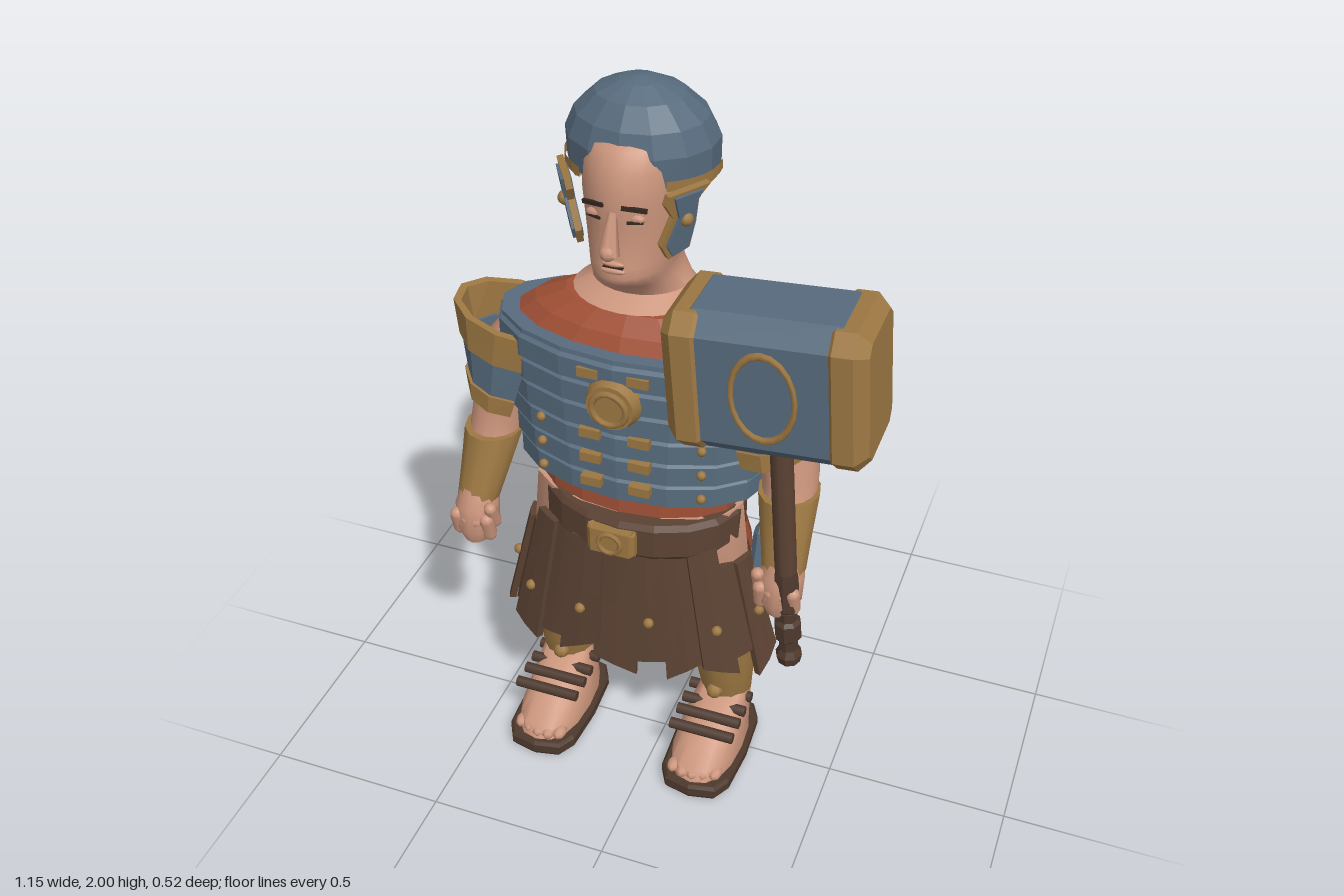
import * as THREE from 'three';
import { toCreasedNormals } from 'three/addons/utils/BufferGeometryUtils.js';

const paint = (name, color) => {
  const m = new THREE.MeshStandardMaterial({ color, side: THREE.DoubleSide });
  m.name = name;
  return m;
};

// Stacked elliptical rings, bottom to top: [y, centreX, centreZ, radiusX, radiusZ]
function loft(rows, n = 16, { p = 2, a0 = 0, a1 = 0, caps = true, smooth = false } = {}) {
  const open = a1 > a0, m = open ? n + 1 : n, pos = [], idx = [];
  const pw = v => Math.sign(v) * Math.abs(v) ** (2 / p);
  for (const [y, cx, cz, rx, rz] of rows)
    for (let j = 0; j < m; j++) {
      const t = open ? a0 + (a1 - a0) * j / n : 2 * Math.PI * j / n;
      pos.push(cx + rx * pw(Math.sin(t)), y, cz + rz * pw(Math.cos(t)));
    }
  for (let i = 0; i < rows.length - 1; i++)
    for (let j = 0; j < n; j++) {
      const a = i * m + j, b = i * m + (j + 1) % m;
      idx.push(a, b, b + m, a, b + m, a + m);
    }
  if (caps && !open) {
    const last = rows.length - 1, c = rows.length * m;
    for (const r of [rows[0], rows[last]]) pos.push(r[1], r[0], r[2]);
    for (let j = 0; j < n; j++) {
      const k = (j + 1) % n;
      idx.push(c, k, j, c + 1, last * m + j, last * m + k);
    }
  }
  const g = new THREE.BufferGeometry();
  g.setAttribute('position', new THREE.Float32BufferAttribute(pos, 3));
  g.setIndex(idx);
  if (smooth) return toCreasedNormals(g, 0.8);
  const f = g.toNonIndexed();
  f.computeVertexNormals();
  return f;
}

// Block with chamfered edges, extruded along x
function chamferBox(w, h, d, c) {
  const a = d / 2 - c, b = h / 2 - c, k = c * 0.8;
  const s = new THREE.Shape([[-a, -b + k], [-a + k, -b], [a - k, -b], [a, -b + k], [a, b - k],
    [a - k, b], [-a + k, b], [-a, b - k]].map(q => new THREE.Vector2(...q)));
  const g = new THREE.ExtrudeGeometry(s, { depth: w - 2 * c, bevelSize: c, bevelThickness: c, bevelSegments: 1 });
  return g.translate(0, 0, -w / 2 + c).rotateY(-Math.PI / 2);
}

export function createModel() {
  const steel = paint('steel blue', 0x576b7d), gold = paint('old gold', 0x9c7742), skin = paint('skin', 0xcb957c);
  const brown = paint('leather', 0x5b4233), rust = paint('rust cloth', 0xa05035), dark = paint('dark leather', 0x4e392d);
  const hair = paint('dark hair', 0x33261f);
  const model = new THREE.Group(), body = new THREE.Group();
  body.name = 'soldier';
  body.position.x = -0.08;
  model.add(body);
  const add = (name, geo, mat, x = 0, y = 0, z = 0, parent = body) => {
    const mesh = new THREE.Mesh(geo, mat);
    mesh.name = name;
    mesh.position.set(x, y, z);
    parent.add(mesh);
    return mesh;
  };
  const ball = (r, w = 8, h = 6) => new THREE.SphereGeometry(r, w, h);
  const box = (...s) => new THREE.BoxGeometry(...s);

  // Head with flared neck edge
  add('head', loft([[1.462, 0, -0.035, 0.165, 0.135], [1.49, 0, -0.058, 0.125, 0.108], [1.53, 0, -0.045, 0.106, 0.127],
    [1.555, 0, -0.025, 0.1, 0.152], [1.575, 0, -0.024, 0.102, 0.16], [1.6, 0, -0.027, 0.106, 0.158], [1.65, 0, -0.035, 0.114, 0.16],
    [1.7, 0, -0.038, 0.12, 0.162], [1.76, 0, -0.032, 0.122, 0.163], [1.83, 0, -0.035, 0.122, 0.155], [1.88, 0, -0.04, 0.112, 0.135],
    [1.915, 0, -0.05, 0.07, 0.08]], 24, { smooth: true }), skin);
  add('neck', new THREE.CylinderGeometry(0.055, 0.055, 0.12, 12), skin, 0, 1.46, -0.04);
  const nose = add('nose', new THREE.CylinderGeometry(0.01, 0.026, 0.1, 6), skin, 0, 1.697, 0.14);
  nose.rotation.x = -0.3;
  add('noseTip', ball(0.02), skin, 0, 1.658, 0.16);
  for (const [y, r] of [[1.614, 0.009], [1.596, 0.01]]) add('lip', ball(r, 12, 8).scale(3.2, 0.8, 0.9), skin, 0, y, 0.13);
  add('mouthLine', box(0.05, 0.003, 0.008), hair, 0, 1.605, 0.13);

  // Helmet dome, inner rim and strap
  add('helmet', loft([[1.787, 0, -0.073, 0.183, 0.158], [1.86, 0, -0.07, 0.185, 0.158], [1.915, 0, -0.064, 0.16, 0.138],
    [1.965, 0, -0.058, 0.108, 0.095], [1.992, 0, -0.056, 0.05, 0.044], [2, 0, -0.055, 0.01, 0.01]], 14), steel);
  add('helmetRim', loft([[1.768, 0, -0.073, 0.16, 0.14], [1.768, 0, -0.073, 0.178, 0.152], [1.79, 0, -0.073, 0.178, 0.152]],
    18, { a0: 0.8, a1: 5.48 }), gold);
  add('neckStrap', loft([[1.738, 0, -0.062, 0.15, 0.148], [1.775, 0, -0.066, 0.157, 0.152]], 16, { a0: 1.5, a1: 4.78 }), dark);
  const cheek = (pts, t) => new THREE.ExtrudeGeometry(new THREE.Shape(pts.map(q => new THREE.Vector2(...q))),
    { depth: t, bevelEnabled: false }).translate(0, 0, -t / 2).rotateY(-Math.PI / 2);

  for (const s of [-1, 1]) {
    const side = s > 0 ? 'left' : 'right';
    const P = (name, geo, mat, x, y, z) => add(side + name, geo, mat, (x || 0) * s, y, z);
    const limb = (rows, n = 16, o = { smooth: true }) => loft(rows.map(r => [r[0], r[1] * s, ...r.slice(2)]), n, o);

    // Face details and brow edge of the helmet
    const brow = P('Brow', box(0.06, 0.01, 0.008), hair, 0.05, 1.757, 0.119);
    brow.rotation.set(0, 0.32 * s, -0.14 * s);
    P('Eye', box(0.038, 0.006, 0.008), hair, 0.05, 1.722, 0.115).rotation.y = 0.32 * s;
    P('EyeLid', ball(0.021).scale(1.1, 0.6, 0.5), skin, 0.05, 1.728, 0.108);
    P('Ear', ball(0.035).scale(0.5, 1.3, 0.9), skin, 0.122, 1.69, -0.045);
    const b0 = s > 0 ? 0.6 : 2 * Math.PI - 1.7;
    P('BrowEdge', loft([[1.783, 0, -0.073, 0.188, 0.163], [1.808, 0, -0.073, 0.188, 0.163]], 6, { a0: b0, a1: b0 + 1.1 }), gold, 0, 0, 0);

    // Cheek guard, turned forward and drawn in at the jaw
    const guard = new THREE.Group();
    guard.name = side + 'CheekGuard';
    guard.position.set(0.142 * s, 1.72, 0.04);
    guard.rotation.set(0, -0.55 * s, -0.16 * s);
    body.add(guard);
    add('cheekTrim', cheek([[-0.06, 0.075], [0.06, 0.075], [0.066, 0.05], [0.04, 0.01], [0.066, -0.06], [0.04, -0.105],
      [-0.02, -0.09], [-0.03, -0.02], [-0.03, 0.045]], 0.016), gold, 0, 0, 0, guard);
    add('cheekPlate', cheek([[-0.035, 0.068], [0.046, 0.068], [0.027, 0.01], [0.053, -0.06], [0.034, -0.094], [-0.012, -0.083],
      [-0.022, -0.02], [-0.022, 0.045]], 0.026), steel, 0.002 * s, 0, 0, guard);
    add('cheekStud', ball(0.018), gold, 0.012 * s, 0, 0.005, guard);

    // Shoulder guard: three bands of a thick open shell, tipped up at the outside
    const a0 = s > 0 ? -0.45 : Math.PI - 0.2, a1 = a0 + Math.PI + 0.65;
    const bands = [[1.1, 1.15, gold, 0.008], [1.15, 1.25, steel, 0], [1.25, 1.345, gold, 0.006]];
    for (const [y0, y1, mat, e] of bands) {
      const ring = (y, k) => [y, 0.335, -0.03, 0.105 + (y - 1.1) * 0.3 + e - k, 0.125 + e - k];
      const shell = limb([ring(y0, 0.02), ring(y0, 0), ring(y1, 0), ring(y1, 0.02), ring(y0, 0.02)], 7, { a0, a1 });
      P('ShoulderBand', shell.translate(-0.44 * s, -1.23, 0), mat, 0.44, 1.23, 0).rotation.z = 0.18 * s;
    }

    // Arm, bracer and fist
    P('Arm', limb([[0.77, 0.428, 0.075, 0.045, 0.05], [0.95, 0.41, -0.02, 0.07, 0.08], [1, 0.405, -0.04, 0.072, 0.086],
      [1.12, 0.385, -0.05, 0.076, 0.09], [1.24, 0.35, -0.045, 0.075, 0.085], [1.31, 0.32, -0.04, 0.05, 0.05]]), skin);
    P('Bracer', limb([[0.785, 0.43, 0.07, 0.058, 0.062], [0.87, 0.42, 0.03, 0.068, 0.075], [0.965, 0.41, -0.015, 0.08, 0.09]], 12), gold);
    P('Palm', limb([[0.66, 0.43, 0.095, 0.035, 0.045], [0.7, 0.43, 0.09, 0.057, 0.065], [0.77, 0.43, 0.085, 0.06, 0.06],
      [0.82, 0.43, 0.07, 0.045, 0.05]], 12), skin);
    for (let i = 0; i < 4; i++) {
      const f = P('Finger', new THREE.CapsuleGeometry(0.02, 0.055, 3, 8), skin, 0.385 + i * 0.029, 0.7 + Math.abs(i - 1.5) * 0.01, 0.122);
      f.rotation.x = 0.25;
    }
    P('Thumb', new THREE.CapsuleGeometry(0.018, 0.06, 3, 8), skin, 0.375, 0.75, 0.11).rotation.x = 0.4;

    // Leg, greave, foot and sandal
    P('Leg', limb([[0.16, 0.245, -0.07, 0.062, 0.066], [0.4, 0.23, -0.07, 0.08, 0.095], [0.5, 0.215, -0.08, 0.095, 0.105],
      [0.68, 0.17, -0.08, 0.12, 0.12]]), skin);
    P('Greave', limb([[0.175, 0.245, -0.065, 0.072, 0.077], [0.25, 0.242, -0.06, 0.08, 0.09], [0.36, 0.235, -0.06, 0.09, 0.103],
      [0.45, 0.23, -0.055, 0.093, 0.103]], 12, { caps: false, smooth: true }), gold);
    P('GreaveStud', ball(0.024), gold, 0.235, 0.215, 0.02);
    P('Foot', limb([[0.04, 0.235, 0.045, 0.095, 0.18], [0.075, 0.235, 0.04, 0.093, 0.172], [0.125, 0.238, -0.005, 0.083, 0.13],
      [0.19, 0.243, -0.065, 0.068, 0.075]], 16, { p: 2.4, smooth: true }), skin);
    for (let i = 0; i < 5; i++)
      P('Toe', ball(0.019).scale(1, 0.9, 1.5), skin, 0.175 + i * 0.03, 0.06, 0.2 - Math.abs(i - 1.5) * 0.009);
    P('Sole', limb([[0, 0.235, 0.045, 0.1, 0.19], [0.01, 0.235, 0.045, 0.108, 0.195], [0.035, 0.235, 0.045, 0.108, 0.195],
      [0.045, 0.235, 0.045, 0.1, 0.188]], 12, { p: 3.6 }), dark);
    for (const z of [-0.04, 0.02, 0.07, 0.13])
      P('SandalStrap', new THREE.CylinderGeometry(0.016, 0.016, 0.185, 6).rotateZ(Math.PI / 2), dark, 0.235, 0.16, z);

    // Chest clasps and beads
    for (const y of [0.98, 1.055, 1.13, 1.31]) {
      P('Clasp', box(0.055, 0.026, 0.025), gold, 0.065, y, 0.143);
      if (y < 1.2) P('ArmourBead', ball(0.013), gold, 0.215, y - 0.015, 0.108);
    }
  }

  // Banded body armour over a cloth tunic
  const plates = [];
  for (let i = 0; i < 6; i++) {
    const y = 0.93 + i * 0.07, r = 0.33 + i * 0.009, d = 0.179 + i * 0.003;
    plates.push([y, 0, -0.045, r + 0.007, d + 0.007], [y + 0.055, 0, -0.045, r + 0.007, d + 0.007], [y + 0.063, 0, -0.045, r - 0.003, d - 0.003]);
  }
  plates.push([1.355, 0, -0.048, 0.375, 0.192], [1.355, 0, -0.048, 0.335, 0.158]);
  add('armour', loft(plates, 16), steel);
  add('tunicShoulders', loft([[1.345, 0, -0.05, 0.342, 0.165], [1.39, 0, -0.05, 0.285, 0.14], [1.43, 0, -0.05, 0.2, 0.1]], 16), rust);
  add('tunicWaist', loft([[0.85, 0, -0.035, 0.275, 0.165], [0.95, 0, -0.04, 0.285, 0.165]], 16), rust);
  add('hips', loft([[0.66, 0, -0.02, 0.29, 0.13], [0.72, 0, -0.02, 0.305, 0.14], [0.88, 0, -0.02, 0.288, 0.15]], 16, { smooth: true }), skin);
  add('breeches', loft([[0.58, 0, -0.1, 0.23, 0.1], [0.605, 0, -0.1, 0.275, 0.135], [0.68, 0, -0.1, 0.295, 0.145],
    [0.8, 0, -0.08, 0.27, 0.135]], 16, { smooth: true }), rust);
  const medal = new THREE.CylinderGeometry(0.062, 0.075, 0.035, 16).rotateX(Math.PI / 2);
  add('medallion', medal, gold, 0, 1.235, 0.157);
  add('medallionRing', new THREE.TorusGeometry(0.045, 0.009, 6, 16), gold, 0, 1.235, 0.18);
  add('belt', loft([[0.77, 0.015, -0.025, 0.262, 0.19], [0.785, 0.015, -0.025, 0.275, 0.2], [0.865, 0.015, -0.025, 0.275, 0.198],
    [0.88, 0.015, -0.025, 0.262, 0.188]], 18), brown);
  add('buckle', chamferBox(0.13, 0.105, 0.04, 0.012), gold, 0, 0.828, 0.178);
  add('buckleRing', new THREE.TorusGeometry(0.03, 0.007, 6, 14), gold, 0, 0.828, 0.2);

  // Skirt of hanging leather strips, bent round the hips and lower at the sides
  for (let i = 0; i < 13; i++) {
    const a = (i - 6) * 0.28, top = Math.abs(i - 6) > 3 ? 0.72 : 0.79, len = top - 0.41 + 0.025 * Math.sin(i * 2.4);
    const out = i % 2 ? 0.012 : 0;
    const place = (t, y, k = 0) => {
      const v = (0.79 - y) / 0.38;
      return [(0.275 + 0.095 * v + out + k) * Math.sin(t), y, -0.02 + (0.165 + 0.03 * v + out + k) * Math.cos(t)];
    };
    const g = box(0.33, 1, 0.018, 2, 2, 1), q = g.attributes.position;
    for (let k = 0; k < q.count; k++) {
      const v = 0.5 - q.getY(k), [x, y, z] = place(a + q.getX(k), top - len * v, q.getZ(k));
      q.setXYZ(k, x, y + v * q.getX(k) * (i % 3 - 0.6) * 0.16, z);
    }
    const flat = g.toNonIndexed();
    flat.computeVertexNormals();
    add('skirtStrip', flat, brown);
    if (i % 2) add('skirtStud', ball(0.015), gold, ...place(a, 0.555 + 0.015 * Math.cos(i), 0.012));
  }

  // Hip canister and rear pouch
  const can = add('hipCanister', chamferBox(0.1, 0.2, 0.105, 0.015), steel, 0.36, 0.68, -0.065);
  can.rotation.x = -0.28;
  add('pouch', new THREE.CylinderGeometry(0.056, 0.048, 0.16, 10), brown, -0.27, 0.65, -0.205);
  add('pouchLid', new THREE.CylinderGeometry(0.045, 0.062, 0.045, 10), brown, -0.27, 0.74, -0.205);

  // War hammer, leaning slightly
  const hammer = new THREE.Group();
  hammer.name = 'hammer';
  hammer.position.set(0.322, 1.405, 0.115);
  hammer.rotation.z = 0.075;
  model.add(hammer);
  const H = (name, geo, mat, x = 0, y = 0, z = 0) => add(name, geo, mat, x, y, z, hammer);
  H('hammerBlock', chamferBox(0.42, 0.376, 0.255, 0.035), steel);
  for (const s of [-1, 1]) H('hammerCap', chamferBox(0.11, 0.37, 0.27, 0.03), gold, s * 0.188);
  H('hammerRing', new THREE.TorusGeometry(0.085, 0.008, 6, 20).scale(0.9, 1.35, 1), gold, 0, 0, 0.127);
  H('shaft', new THREE.CylinderGeometry(0.03, 0.03, 0.6, 8), brown, 0, -0.43, 0);
  H('collar', new THREE.CylinderGeometry(0.045, 0.035, 0.05, 8), dark, 0, -0.195, 0);
  const grip = [[0.001, -0.905], [0.03, -0.905], [0.036, -0.88], [0.026, -0.86], [0.026, -0.83], [0.036, -0.82], [0.036, -0.77],
    [0.027, -0.76], [0.027, -0.73], [0.034, -0.72], [0.033, -0.62], [0.03, -0.6]];
  H('grip', toCreasedNormals(new THREE.LatheGeometry(grip.map(v => new THREE.Vector2(...v)), 8), 0.4), dark);

  return model;
}
